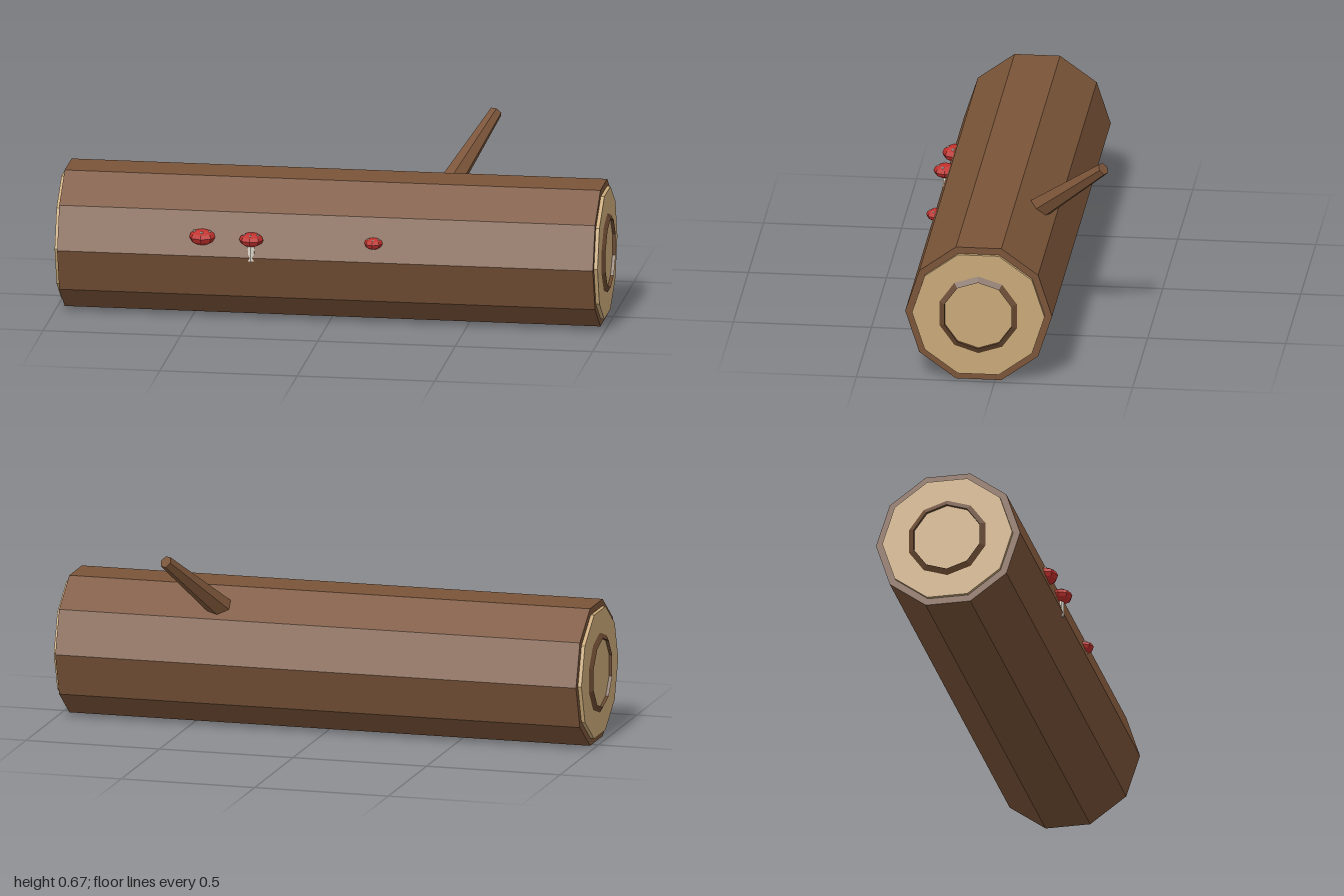
import * as THREE from 'three';

const mat = (name, color) => {
  const m = new THREE.MeshStandardMaterial({ color, flatShading: true });
  m.name = name;
  return m;
};

export function createModel() {
  const bark = mat('bark brown', 0x7a5438);
  const wood = mat('cut wood tan', 0xc9a877);
  const ringBrown = mat('ring brown', 0x684830);
  const red = mat('mushroom red', 0xc0302c);
  const pale = mat('mushroom pale', 0xe6e0d4);

  const model = new THREE.Group();
  model.name = 'fallenLog';
  const add = (parent, name, geometry, material, x = 0, y = 0, z = 0) => {
    const mesh = new THREE.Mesh(geometry, material);
    mesh.name = name;
    mesh.position.set(x, y, z);
    parent.add(mesh);
    return mesh;
  };

  // Ten-sided trunk lying along x
  const cy = 0.253, cz = 0.06;
  add(model, 'trunk', new THREE.CylinderGeometry(0.266, 0.266, 1.95, 10).rotateZ(Math.PI / 2), bark, 0, cy, cz);

  // Cut ends, each with one growth ring
  for (const side of [1, -1]) {
    const label = side > 0 ? 'left' : 'right';
    add(model, label + 'CutEnd', new THREE.CylinderGeometry(0.24, 0.24, 0.026, 10).rotateZ(Math.PI / 2),
      wood, side * 0.975, cy, cz);
    add(model, label + 'GrowthRing',
      new THREE.TorusGeometry(0.134, 0.0135, 3, 10).rotateZ(Math.PI / 2).rotateY(Math.PI / 2),
      ringBrown, side * 0.988, cy, cz);
  }

  // Broken branch leaning back and to the left
  const base = new THREE.Vector3(0.367, 0.405, -0.051);
  const tip = new THREE.Vector3(0.522, 0.655, -0.342);
  const axis = tip.clone().sub(base);
  const branch = add(model, 'branch', new THREE.CylinderGeometry(0.024, 0.047, axis.length(), 6), bark);
  branch.position.copy(base).add(tip).multiplyScalar(0.5);
  branch.quaternion.setFromUnitVectors(new THREE.Vector3(0, 1, 0), axis.normalize());

  // Small mushrooms on the front: [x, z, cap radius, cap half height]
  const mushrooms = [[-0.45, 0.297, 0.05, 0.029], [-0.27, 0.315, 0.044, 0.025], [0.173, 0.303, 0.034, 0.021]];
  mushrooms.forEach(([x, z, r, h], i) => {
    const mushroom = new THREE.Group();
    mushroom.name = 'mushroom' + (i + 1);
    mushroom.position.set(x, 0.319, z);
    model.add(mushroom);
    add(mushroom, 'cap', new THREE.SphereGeometry(1, 8, 6).scale(r, h, r), red);
    add(mushroom, 'stem', new THREE.CylinderGeometry(r * 0.32, r * 0.3, r * 1.8, 6), pale, 0, -r * 0.9, 0);
    // Pale spots around the cap
    for (let k = 0; k < 5; k++) {
      const a = k * Math.PI * 0.4;
      add(mushroom, 'spot', new THREE.IcosahedronGeometry(r * 0.13, 0), pale,
        Math.sin(a) * r * 0.58, h * 0.72, Math.cos(a) * r * 0.58);
    }
  });

  return model;
}
